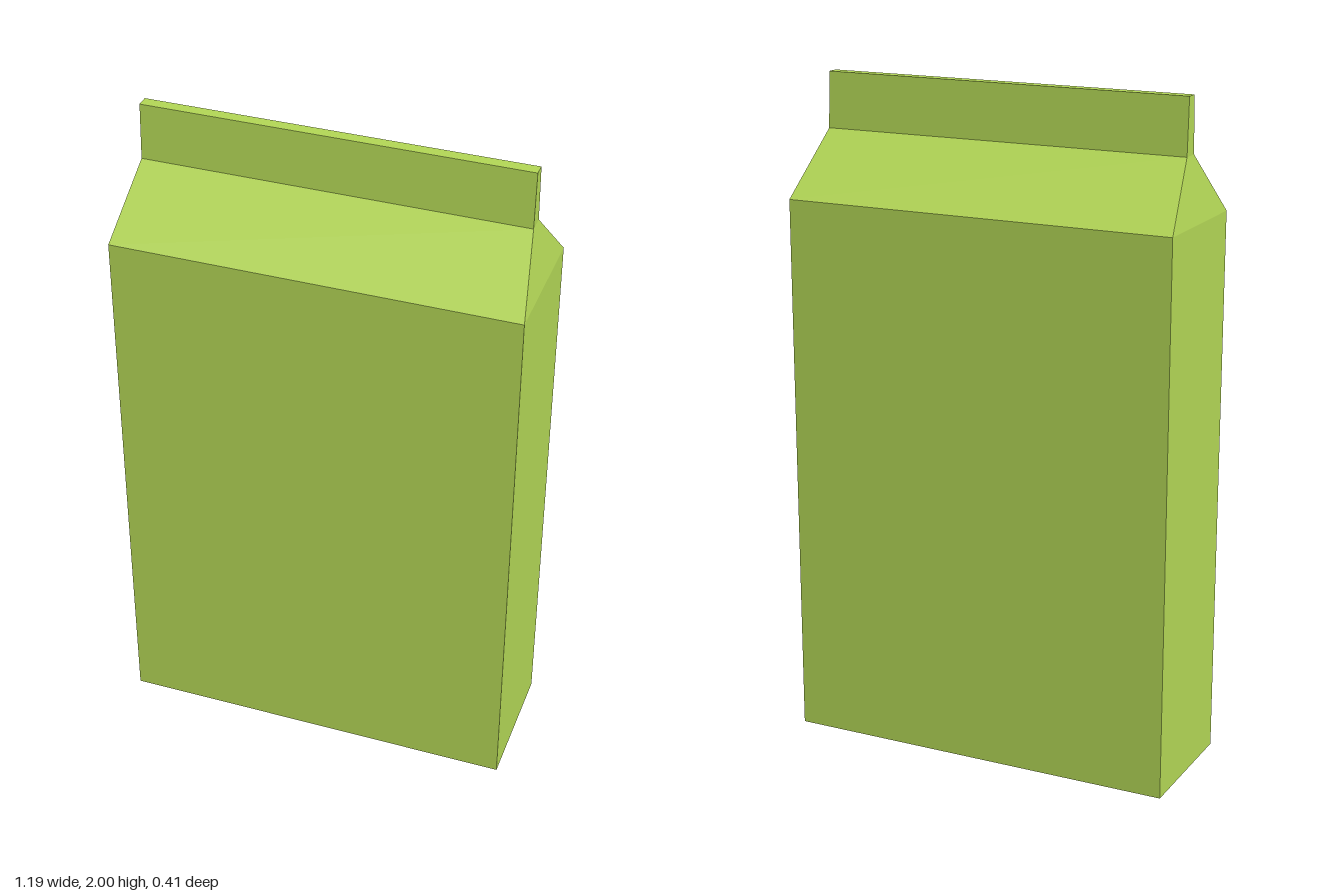
import * as THREE from 'three';

const material = new THREE.MeshStandardMaterial({ color: 0xb5d957, flatShading: true });

// Rectangular cross-sections of the carton, bottom to top: height, half width, half depth
const sections = [
  { y: 0, w: 0.597, d: 0.203 },
  { y: 1.65, w: 0.597, d: 0.203 },
  { y: 1.835, w: 0.563, d: 0.026 },
  { y: 2, w: 0.563, d: 0.018 },
];

// Tapered box between two sections, keeping only the end caps that are visible
function taperedBox(name, low, high, hasTop, hasBottom) {
  const geometry = new THREE.BoxGeometry(2, 2, 2);
  const pos = geometry.attributes.position;
  for (let i = 0; i < pos.count; i++) {
    const s = pos.getY(i) > 0 ? high : low;
    pos.setXYZ(i, pos.getX(i) * s.w, s.y, pos.getZ(i) * s.d);
  }
  // Box sides come in the order +x, -x, +y, -y, +z, -z, six indices each
  const keep = [true, true, hasTop, hasBottom, true, true];
  geometry.setIndex([...geometry.index.array].filter((_, i) => keep[Math.floor(i / 6)]));
  geometry.clearGroups();
  geometry.computeVertexNormals();
  const mesh = new THREE.Mesh(geometry, material);
  mesh.name = name;
  return mesh;
}

export function createModel() {
  const carton = new THREE.Group();
  carton.name = 'carton';
  ['body', 'slopedShoulder', 'topSeal'].forEach((name, i) => {
    carton.add(taperedBox(name, sections[i], sections[i + 1], i === 2, i === 0));
  });
  return carton;
}
